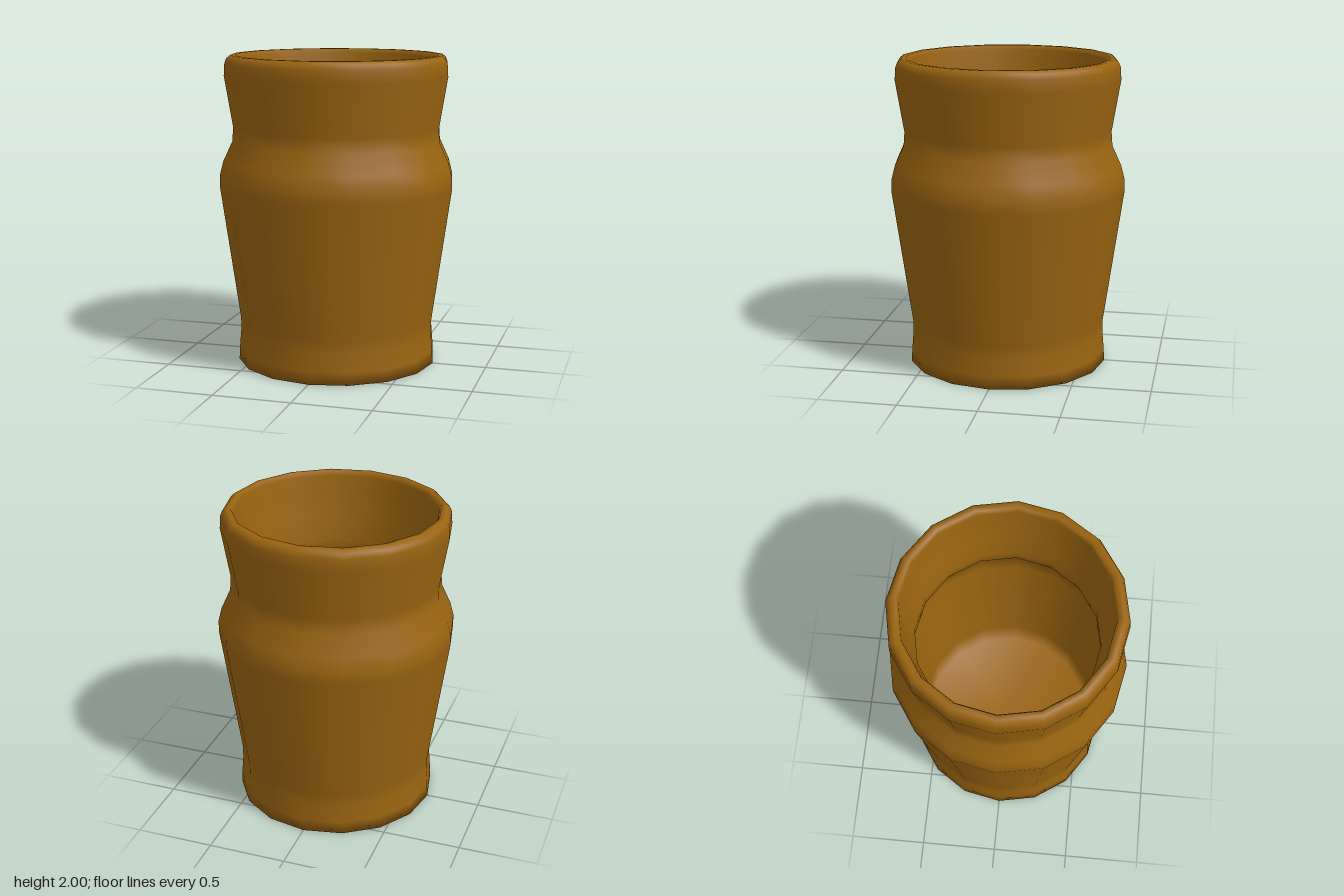
import * as THREE from 'three';

const SIDES = 16;

export function createModel() {
  const group = new THREE.Group();
  group.name = 'jar';

  // Underside and outer wall: foot, belly, neck, flared lip
  const outer = [
    [0, 0], [0.65, 0], [0.646, 0.08], [0.636, 0.2], [0.636, 0.28],
    [0.76, 1.15], [0.76, 1.23], [0.737, 1.32], [0.677, 1.45], [0.67, 1.54],
    [0.725, 1.87], [0.72, 1.95], [0.708, 1.98], [0.685, 2],
  ];
  // Rim, inner wall and floor
  const inner = [
    [0.655, 2], [0.642, 1.97], [0.635, 1.88], [0.605, 1.7], [0.575, 1.54], [0.58, 1.45],
    [0.64, 1.31], [0.665, 1.2], [0.66, 1.14], [0.575, 0.3], [0.56, 0.1], [0, 0.1],
  ];
  const profile = [...outer, ...inner].map(([r, y]) => new THREE.Vector2(r, y));

  const body = new THREE.Mesh(
    new THREE.LatheGeometry(profile, SIDES),
    new THREE.MeshStandardMaterial({ color: 0x9a6410 })
  );
  body.name = 'jarBody';
  group.add(body);
  return group;
}
